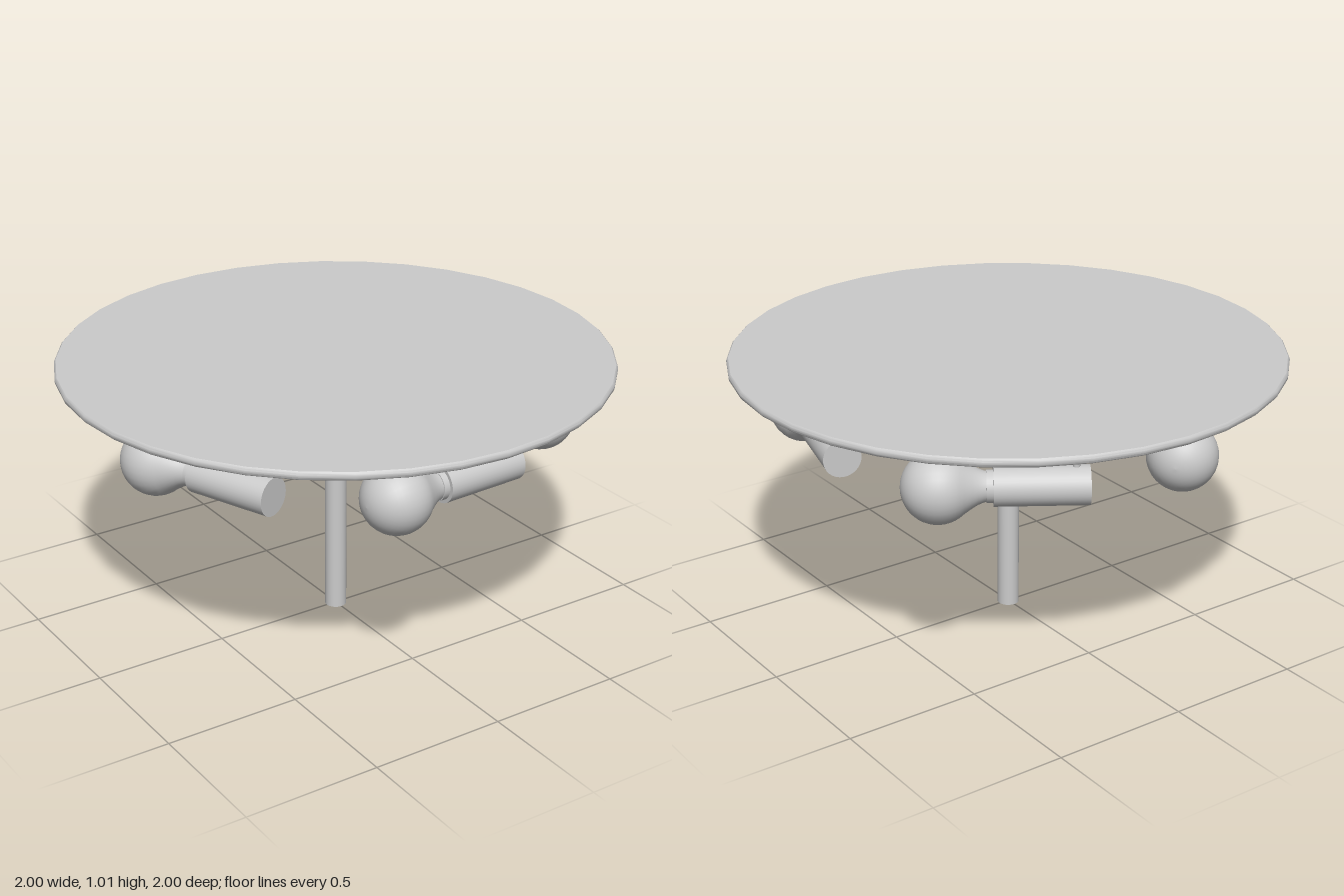
import * as THREE from 'three';
import { toCreasedNormals } from 'three/addons/utils/BufferGeometryUtils.js';

const material = new THREE.MeshStandardMaterial({ color: 0xcccccc });

function part(name, geometry, parent) {
  const mesh = new THREE.Mesh(geometry, material);
  mesh.name = name;
  parent.add(mesh);
  return mesh;
}

const lathe = (points, segments) =>
  new THREE.LatheGeometry(points.map(([r, y]) => new THREE.Vector2(r, y)), segments);

// One bulb in its socket, lying along x with the bulb centre at the origin
function createLamp() {
  const lamp = new THREE.Group();
  const R = 0.125;

  // Round glass with a concave neck
  const profile = [];
  for (let i = 0; i <= 16; i++) {
    const a = (i / 16) * Math.PI * 0.74;
    profile.push([R * Math.sin(a), -R * Math.cos(a)]);
  }
  profile.push([0.073, 0.112], [0.061, 0.132], [0.053, 0.152], [0.05, 0.17]);
  part('bulb', lathe(profile, 32), lamp).rotation.z = -Math.PI / 2;

  // Collar between the neck and the socket
  const collar = part('bulbCollar', new THREE.CylinderGeometry(0.055, 0.055, 0.03, 32), lamp);
  collar.rotation.z = -Math.PI / 2;
  collar.position.x = 0.175;

  const socket = part('socket', new THREE.CylinderGeometry(0.068, 0.068, 0.32, 32), lamp);
  socket.rotation.z = -Math.PI / 2;
  socket.position.x = 0.343;

  // Thin rod up to the canopy
  part('hangingRod', new THREE.CylinderGeometry(0.012, 0.012, 0.2, 12), lamp)
    .position.set(0.457, 0.105, 0);
  return lamp;
}

export function createModel() {
  const model = new THREE.Group();
  model.name = 'discLamp';

  // Canopy disc with a slightly softened rim
  const disc = lathe([
    [0, 0.985], [0.993, 0.985], [0.998, 0.99], [1, 0.996],
    [1, 1.004], [0.998, 1.01], [0.993, 1.015], [0, 1.015],
  ], 36);
  part('canopyDisc', toCreasedNormals(disc, 0.6), model);

  // Central pole
  part('pole', new THREE.CylinderGeometry(0.04, 0.04, 0.99, 32), model).position.y = 0.495;

  // Five lamps in a ring, each turned a fifth of a circle
  for (let i = 0; i < 5; i++) {
    const arm = new THREE.Group();
    arm.name = 'lamp' + (i + 1);
    const lamp = createLamp();
    lamp.name = 'lampBody';
    lamp.position.set(-0.225, 0.787, 0.703);
    lamp.rotation.y = 0.05;
    arm.add(lamp);
    arm.rotation.y = (i * Math.PI * 2) / 5;
    model.add(arm);
  }
  return model;
}
